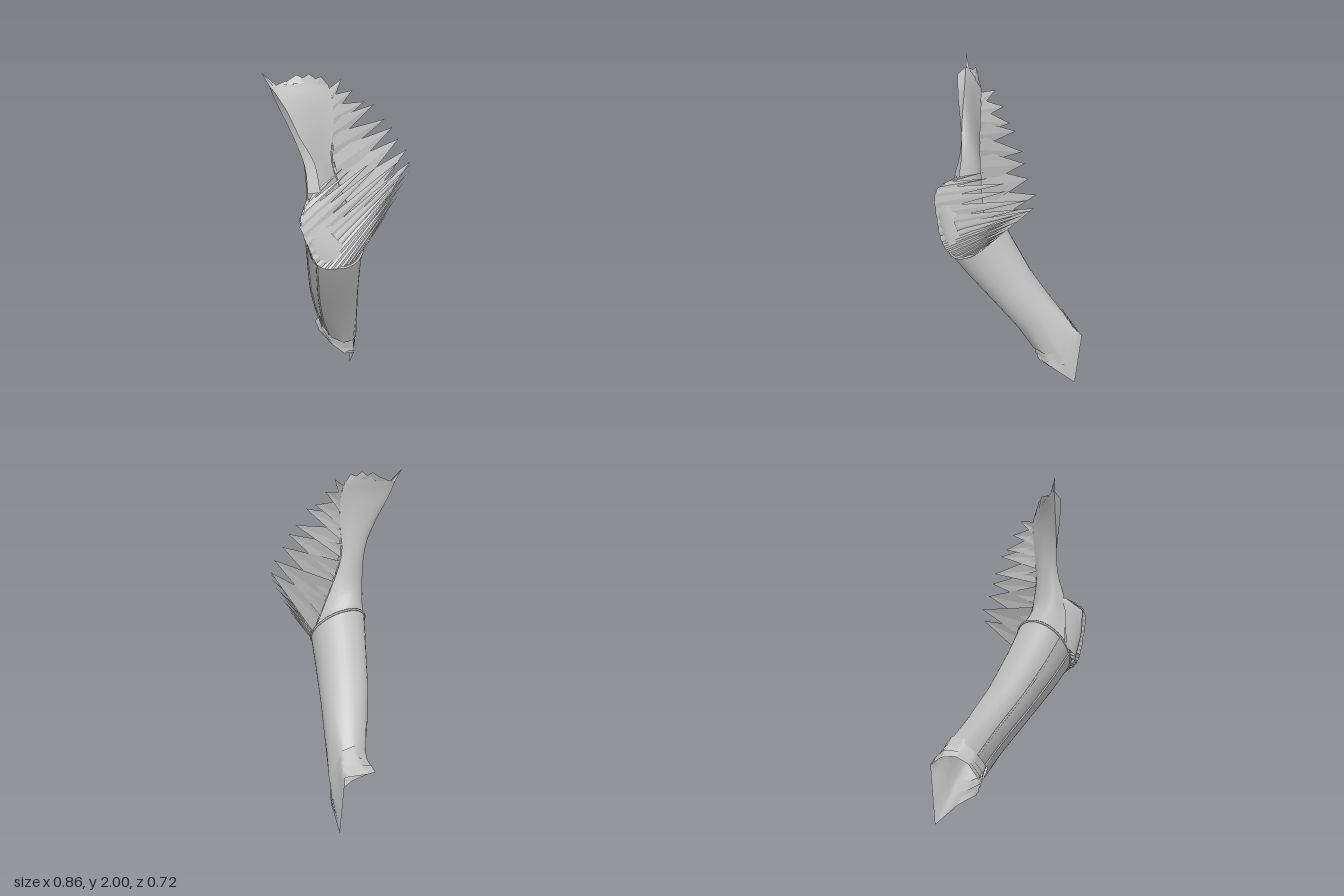
import * as THREE from 'three';
import { mergeGeometries } from 'three/addons/utils/BufferGeometryUtils.js';

const cloth = new THREE.MeshStandardMaterial({ color: 0xc8c8c8, side: THREE.DoubleSide });
cloth.name = 'pale grey cloth';

const vec = (p) => new THREE.Vector3(...p);
const curve = (pts) => new THREE.CatmullRomCurve3(pts.map(vec));

// Skin a list of rows that all have the same number of points
function loft(rows, closed) {
  const n = rows[0].length, pos = [], index = [];
  for (const row of rows) for (const p of row) pos.push(p.x, p.y, p.z);
  for (let r = 0; r < rows.length - 1; r++) {
    for (let i = 0; i < (closed ? n : n - 1); i++) {
      const j = (i + 1) % n, a = r * n + i, b = r * n + j;
      index.push(a, a + n, b, b, a + n, b + n);
    }
  }
  const g = new THREE.BufferGeometry();
  g.setAttribute('position', new THREE.Float32BufferAttribute(pos, 3));
  g.setIndex(index);
  g.computeVertexNormals();
  return g;
}

// Thin pointed blade with a slight centre fold
function blade(a, b, tip) {
  const mid = a.clone().lerp(b, 0.5);
  mid.z += 0.008;
  const pos = [a, mid, tip, mid, b, tip].flatMap((p) => [p.x, p.y, p.z]);
  const g = new THREE.BufferGeometry();
  g.setAttribute('position', new THREE.Float32BufferAttribute(pos, 3));
  g.computeVertexNormals();
  return g;
}

// Tilted oval ring: front [y, z], back [y, z], left and right x
function ring([fy, fz, by, bz, x0, x1], n = 32) {
  return Array.from({ length: n }, (_, i) => {
    const t = (i / n) * Math.PI * 2, s = Math.sin(t);
    return new THREE.Vector3(
      (x0 + x1) / 2 + (Math.cos(t) * (x1 - x0)) / 2,
      (fy + by) / 2 + (s * (fy - by)) / 2,
      (fz + bz) / 2 + (s * (fz - bz)) / 2);
  });
}

// Eight corners, starting at the +x side and turning to the front, filled to 32 points
function corners(pts) {
  return pts.flatMap((p, i) => [0, 0.25, 0.5, 0.75].map((t) =>
    vec(p).lerp(vec(pts[(i + 1) % pts.length]), t)));
}

// Ring scaled about an axis through (0.12, cz) and shifted in y
const inset = (pts, scale, dy, cz) => pts.map((p) => new THREE.Vector3(
  0.12 + (p.x - 0.12) * scale, p.y + dy, cz + (p.z - cz) * scale));

export function createModel() {
  const group = new THREE.Group();
  const add = (name, geometry) => {
    const m = new THREE.Mesh(geometry, cloth);
    m.name = name;
    group.add(m);
  };

  // Slanted sleeve
  const sleeve = [
    [0.95, 0.355, 1.19, 0.07, -0.25, 0.08],
    [0.81, 0.27, 1.01, 0.0, -0.21, 0.1],
    [0.62, 0.14, 0.78, -0.1, -0.15, 0.14],
    [0.41, 0.0, 0.6, -0.195, -0.07, 0.19],
  ].map((r) => ring(r));
  const hem = corners([
    [0.235, 0.26, -0.19], [0.18, 0.25, -0.11], [0.1, 0.26, -0.08], [0.03, 0.3, -0.1],
    [0.0, 0.35, -0.18], [0.03, 0.42, -0.25], [0.12, 0.46, -0.28], [0.2, 0.44, -0.27]]);
  add('sleeve', loft([...sleeve, hem], true));

  // Stepped cuff bands, the lowest one running to a point
  const upperHem = corners([
    [0.238, 0.165, -0.22], [0.19, 0.19, -0.13], [0.1, 0.21, -0.1], [0.03, 0.27, -0.13],
    [0.005, 0.32, -0.21], [0.03, 0.365, -0.28], [0.12, 0.4, -0.315], [0.22, 0.39, -0.295]]);
  add('upperCuff', loft([inset(hem, 0.96, 0.02, -0.18), upperHem], true));
  const middleHem = corners([
    [0.238, 0.1, -0.255], [0.2, 0.16, -0.14], [0.11, 0.185, -0.105], [0.04, 0.245, -0.135],
    [0.005, 0.3, -0.225], [0.02, 0.34, -0.3], [0.105, 0.36, -0.34], [0.23, 0.36, -0.32]]);
  add('middleCuff', loft([inset(upperHem, 0.96, 0.02, -0.21), middleHem], true));
  const lowerHem = corners([
    [0.237, 0.0, -0.3], [0.21, 0.13, -0.17], [0.12, 0.17, -0.11], [0.05, 0.23, -0.14],
    [0.005, 0.29, -0.24], [0.01, 0.32, -0.32], [0.09, 0.33, -0.36], [0.23, 0.33, -0.345]]);
  add('lowerCuff', loft([inset(middleHem, 0.96, 0.02, -0.22), lowerHem], true));

  // Rolled band along the top rim
  add('rimBand', new THREE.TubeGeometry(
    new THREE.CatmullRomCurve3(sleeve[0], true), 64, 0.007, 6, true));

  // Long raised seams on the outer side of the sleeve
  for (const k of [13, 16]) {
    const path = new THREE.CatmullRomCurve3([...sleeve, hem].map((r) => r[k]));
    add('sleeveSeam', new THREE.TubeGeometry(path, 20, 0.006, 5));
  }

  // Back sheet that narrows to a neck and flares into a ragged fan
  const sheet = [
    [[-0.25, 1.06, 0.24], [-0.2, 1.15, 0.12], [-0.08, 1.19, 0.075], [0.03, 1.14, 0.12], [0.08, 1.05, 0.22]],
    [[-0.25, 1.3, 0.25], [-0.23, 1.31, 0.17], [-0.15, 1.31, 0.125], [-0.06, 1.29, 0.14], [0.0, 1.26, 0.19]],
    [[-0.25, 1.5, 0.2], [-0.24, 1.5, 0.165], [-0.19, 1.5, 0.14], [-0.13, 1.5, 0.14], [-0.08, 1.5, 0.165]],
    [[-0.31, 1.69, 0.15], [-0.28, 1.69, 0.14], [-0.22, 1.7, 0.14], [-0.14, 1.7, 0.15], [-0.07, 1.69, 0.165]],
    [[-0.37, 1.84, 0.1], [-0.33, 1.84, 0.105], [-0.25, 1.85, 0.12], [-0.16, 1.85, 0.14], [-0.07, 1.84, 0.155]],
    [[-0.4, 1.93, 0.075], [-0.36, 1.93, 0.075], [-0.27, 1.93, 0.095], [-0.18, 1.94, 0.12], [-0.09, 1.92, 0.145]],
  ].map((r) => curve(r).getPoints(12));
  const columns = sheet[0].map((_, i) =>
    new THREE.CatmullRomCurve3(sheet.map((r) => r[i])).getPoints(20));
  add('fanSheet', loft(columns, false));

  // Side edge of the fan folded over to the front
  add('foldedEdge', loft([
    [[-0.4, 1.93, 0.075], [-0.37, 1.84, 0.1], [-0.31, 1.69, 0.15], [-0.25, 1.5, 0.2], [-0.25, 1.36, 0.24]],
    [[-0.385, 1.9, 0.135], [-0.33, 1.8, 0.165], [-0.27, 1.66, 0.185], [-0.2, 1.52, 0.215], [-0.18, 1.36, 0.25]],
  ].map((r) => curve(r).getPoints(16)), false));

  // Ragged points along the top of the fan
  const top = sheet[5];
  add('fanTip', mergeGeometries([
    blade(top[0], top[3], vec([-0.435, 2.0, 0.055])),
    blade(top[3], top[6], vec([-0.31, 1.95, 0.085])),
    blade(top[4], top[9], vec([-0.25, 1.98, 0.09])),
    blade(top[6], top[11], vec([-0.19, 1.985, 0.115])),
    blade(top[8], top[12], vec([-0.13, 1.97, 0.14]))]));

  // Spikes springing upward from the side edge of the fan
  const edge = new THREE.CatmullRomCurve3(columns[12].slice().reverse());
  const tips = [[0.0, 1.94, 0.11], [0.07, 1.87, 0.1], [0.14, 1.8, 0.1], [0.2, 1.78, 0.1],
    [0.27, 1.69, 0.1], [0.31, 1.64, 0.11], [0.35, 1.57, 0.11], [0.41, 1.5, 0.1], [0.42, 1.43, 0.12]];
  add('fanSpikes', mergeGeometries(tips.map((t, i) => {
    const u = 0.04 + i * 0.098;
    return blade(edge.getPoint(u), edge.getPoint(Math.min(1, u + 0.18)), vec(t));
  })));

  // Front pleats sweeping from the shoulder across to sharp tips of uneven length
  const bases = curve([[-0.22, 1.36, 0.24], [-0.335, 1.24, 0.325], [-0.29, 1.1, 0.34],
    [-0.24, 0.98, 0.345], [-0.16, 0.95, 0.355], [-0.06, 0.96, 0.345], [0.03, 0.98, 0.3]]);
  const ends = curve([[-0.02, 1.46, 0.18], [0.22, 1.47, 0.14], [0.42, 1.43, 0.12],
    [0.4, 1.4, 0.16], [0.36, 1.34, 0.18], [0.3, 1.26, 0.21], [0.2, 1.15, 0.25]]);
  const pleats = [];
  for (let i = 0; i < 15; i++) {
    const t = i / 15, a = bases.getPoint(t);
    pleats.push(blade(a, bases.getPoint(Math.min(1, t + 0.1)),
      a.clone().lerp(ends.getPoint(t), i % 2 ? 0.88 : 1)));
  }
  add('frontPleats', mergeGeometries(pleats));

  // Gathered shoulder cloth behind the pleats
  add('shoulderFold', loft([
    [[-0.25, 1.02, 0.25], [-0.24, 0.98, 0.32], [-0.15, 0.96, 0.345], [-0.02, 0.98, 0.32]],
    [[-0.26, 1.12, 0.24], [-0.29, 1.11, 0.33], [-0.19, 1.08, 0.335], [-0.06, 1.05, 0.31]],
    [[-0.26, 1.25, 0.24], [-0.33, 1.24, 0.315], [-0.23, 1.2, 0.31], [-0.14, 1.14, 0.31]],
    [[-0.25, 1.33, 0.22], [-0.26, 1.33, 0.25], [-0.2, 1.34, 0.24], [-0.12, 1.33, 0.22]],
  ].map((r) => curve(r).getPoints(12)), false));

  return group;
}
